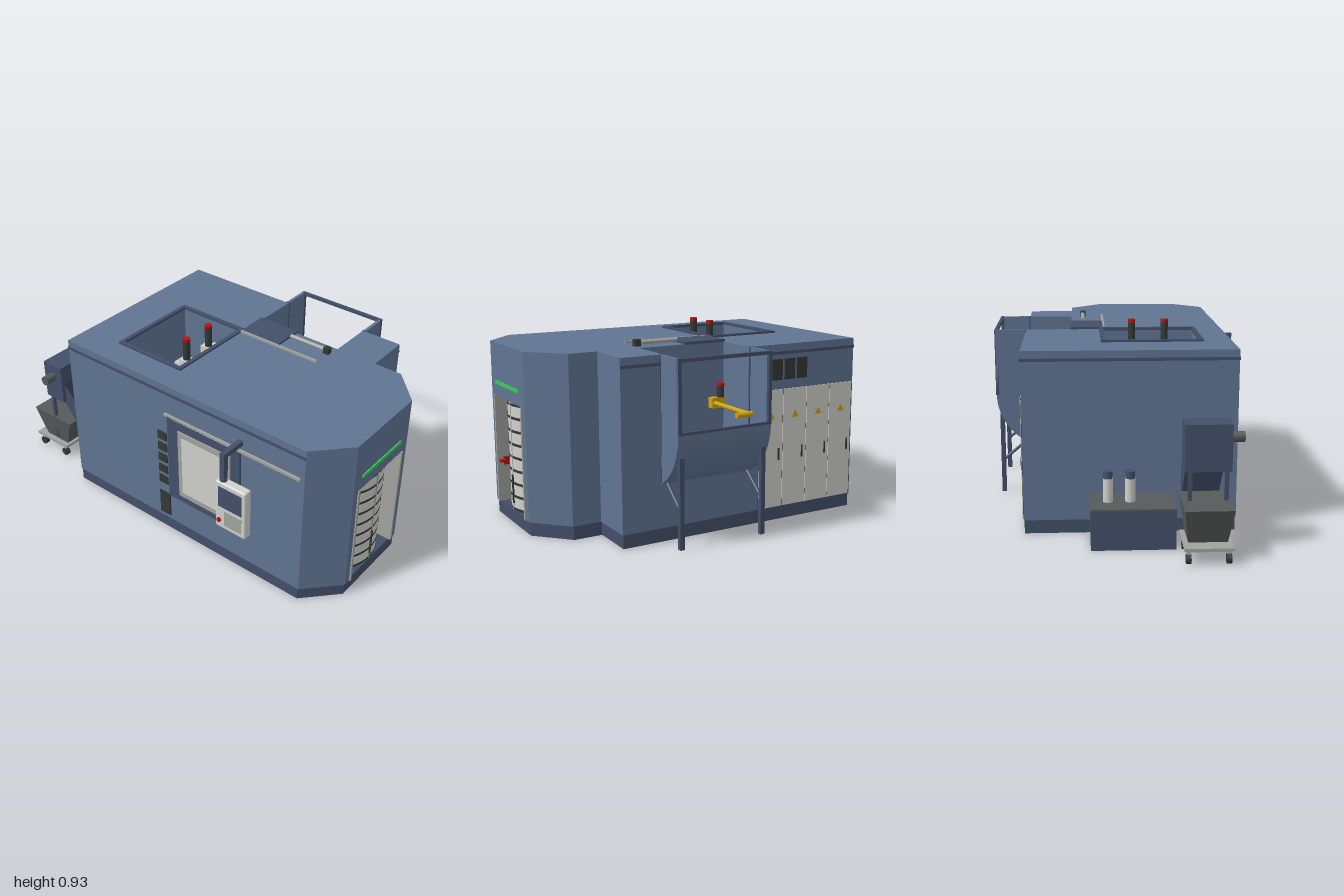
import * as THREE from 'three';
import { RoundedBoxGeometry } from 'three/addons/geometries/RoundedBoxGeometry.js';

export function createModel() {
  const root = new THREE.Group();
  const mat = (name, color) => {
    const m = new THREE.MeshStandardMaterial({ color, side: THREE.DoubleSide });
    m.name = name;
    return m;
  };
  const blue = mat('steel blue', 0x607492), navy = mat('navy', 0x434f69), dark = mat('dark navy', 0x2a3245);
  const white = mat('off white', 0xd0d0cc), grey = mat('mid grey', 0xa2a29e), iron = mat('iron grey', 0x565a5a);
  const black = mat('black', 0x333836), yellow = mat('yellow', 0xcda40e), red = mat('red', 0xb31212), green = mat('green', 0x36cc58);

  const add = (name, geo, m) => {
    const mesh = new THREE.Mesh(geo, m);
    mesh.name = name;
    root.add(mesh);
    return mesh;
  };
  // box given by its limits on each axis
  const box = (name, m, x0, x1, y0, y1, z0, z1) =>
    add(name, new THREE.BoxGeometry(x1 - x0, y1 - y0, z1 - z0).translate((x0 + x1) / 2, (y0 + y1) / 2, (z0 + z1) / 2), m);
  // cylinder between two points
  const rod = (name, m, r, a, b, seg = 20) => {
    const A = new THREE.Vector3(...a), B = new THREE.Vector3(...b), d = B.clone().sub(A);
    const mesh = add(name, new THREE.CylinderGeometry(r, r, d.length(), seg), m);
    mesh.position.copy(A).add(B).multiplyScalar(0.5);
    mesh.quaternion.setFromUnitVectors(new THREE.Vector3(0, 1, 0), d.normalize());
    return mesh;
  };
  const rectPath = (x0, x1, z0, z1) =>
    new THREE.Path([[x0, -z0], [x0, -z1], [x1, -z1], [x1, -z0]].map(p => new THREE.Vector2(...p)));

  // housing, stacked in layers of the floor plan
  const layer = (name, m, y0, y1, { notch, recess, pit }, k = 1) => {
    const pts = [[-0.5, -0.58], [0.487, -0.58],
      ...(notch ? [[0.487, 0.03], [0.26, 0.03], [0.26, 0.49], [0.487, 0.49]] : []),
      [0.487, 0.7], [0.26, 0.7], [0.26, 0.84], [0.1, 0.99],
      ...(recess ? [[0.065, 0.99], [0.065, 0.72], [-0.305, 0.72], [-0.305, 0.99]] : []),
      [-0.34, 0.99], [-0.5, 0.84]];
    const s = new THREE.Shape(pts.map(([x, z]) => new THREE.Vector2(x * k, -z * k)));
    if (pit) s.holes.push(rectPath(-0.35, 0.105, -0.35, 0.015));
    add(name, new THREE.ExtrudeGeometry(s, { depth: y1 - y0, bevelEnabled: false }).rotateX(-Math.PI / 2).translate(0, y0, 0), m);
  };
  layer('plinth', navy, 0, 0.065, {}, 0.993);
  layer('lowerHousing', blue, 0.065, 0.24, { recess: true });
  layer('middleHousing', blue, 0.24, 0.6, { recess: true, notch: true, pit: true });
  layer('upperHousing', blue, 0.6, 0.86, { notch: true, pit: true });

  // shadow groove strips below the roof
  box('roofGroove', navy, 0.486, 0.491, 0.812, 0.826, -0.58, 0.02);
  box('roofGroove', navy, 0.486, 0.491, 0.812, 0.826, 0.505, 0.7);
  box('roofGroove', navy, -0.504, -0.499, 0.812, 0.826, -0.58, 0.84);
  box('roofGroove', navy, -0.5, 0.487, 0.812, 0.826, -0.584, -0.579);

  // roof opening rim
  const rim = new THREE.Shape(rectPath(-0.365, 0.12, -0.365, 0.03).getPoints());
  rim.holes.push(rectPath(-0.345, 0.1, -0.345, 0.01));
  add('roofOpeningRim', new THREE.ExtrudeGeometry(rim, { depth: 0.014, bevelEnabled: false }).rotateX(-Math.PI / 2).translate(0, 0.856, 0), navy);

  // machine inside the roof opening
  for (const x of [-0.285, 0.012]) {
    box('innerColumn', white, x, x + 0.03, 0.24, 0.58, -0.35, -0.05);
    box('innerUpright', white, x, x + 0.03, 0.5, 0.78, -0.1, -0.045);
  }
  box('innerBeam', white, -0.255, 0.012, 0.5, 0.56, -0.325, -0.265);
  box('innerBeam', white, -0.255, 0.012, 0.48, 0.56, -0.24, -0.17);
  box('innerBridge', white, -0.255, 0.012, 0.66, 0.77, -0.085, -0.05);
  for (const z of [-0.29, -0.17, -0.11]) {
    rod('innerRail', grey, 0.005, [-0.345, 0.55, z], [-0.28, 0.55, z], 10);
    rod('innerRail', grey, 0.005, [0.04, 0.55, z], [0.1, 0.55, z], 10);
  }
  box('innerSwitch', red, -0.35, -0.335, 0.56, 0.6, -0.195, -0.15);

  // signal lamps
  const lamp = (x, z, y0, y1) => {
    rod('lampBody', black, 0.018, [x, y0, z], [x, y1 - 0.016, z]);
    rod('lampCap', red, 0.0185, [x, y1 - 0.016, z], [x, y1, z]);
  };
  for (const x of [-0.203, -0.04]) {
    box('lampBracket', white, x - 0.025, x + 0.025, 0.76, 0.81, -0.1, -0.045);
    lamp(x, -0.07, 0.81, 0.925);
  }

  // curved front doors with slots
  const cx = -0.12, cz = 0.76;
  const arc = (name, m, r, y0, y1, t0, t1) =>
    add(name, new THREE.CylinderGeometry(r, r, y1 - y0, 16, 1, true, t0, t1 - t0).translate(cx, (y0 + y1) / 2, cz), m);
  arc('doorBacking', grey, 0.215, 0.066, 0.6, -0.88, 0.88);
  for (const [t0, t1] of [[-0.883, -0.03], [0.03, 0.883]]) {
    arc('frontDoor', white, 0.22, 0.068, 0.598, t0, t1);
    for (let i = 0; i < 9; i++) {
      const y = 0.068 + i * 0.0638;
      arc('doorSlot', black, 0.222, y, y + 0.013, t0, t1);
    }
  }
  box('doorHandle', black, -0.124, -0.117, 0.1, 0.24, 0.976, 0.986);
  box('doorPost', grey, -0.306, -0.293, 0.065, 0.6, 0.9, 0.996);
  box('doorPost', grey, 0.053, 0.066, 0.065, 0.6, 0.9, 0.996);
  box('doorStop', red, -0.294, -0.28, 0.25, 0.29, 0.94, 0.965);
  rod('doorStopKnob', red, 0.009, [-0.285, 0.27, 0.955], [-0.285, 0.27, 0.985], 12);
  box('statusLight', green, -0.28, 0.037, 0.66, 0.677, 0.989, 0.996);

  // electrical cabinets and vents on the left side
  const pitch = 0.1385;
  box('cabinetBacking', black, 0.486, 0.489, 0.068, 0.645, -0.575, -0.02);
  for (let i = 0; i < 4; i++) {
    const z = -0.02 - i * pitch, v = -0.02 - i * 0.072;
    box('cabinetDoor', white, 0.487, 0.492, 0.068, 0.645, z - pitch + 0.003, z);
    box('cabinetHandle', black, 0.491, 0.496, 0.3, 0.36, z - 0.117, z - 0.109);
    add('warningSign', new THREE.CircleGeometry(0.023, 3).rotateZ(Math.PI / 2).rotateY(Math.PI / 2).translate(0.494, 0.515, z - pitch / 2), yellow);
    box('sideVent', black, 0.486, 0.491, 0.69, 0.79, v - 0.06, v);
  }

  // loading hopper: side plates, curved floor, open window frame
  const hx = 0.357, hy = 0.53, hr = 0.288, a1 = -1.91;
  const plate = new THREE.Shape();
  plate.moveTo(0.262, 0.86).lineTo(0.645, 0.86).lineTo(0.645, hy);
  plate.absarc(hx, hy, hr, 0, a1, true);
  for (const z of [0.02, 0.49])
    add('hopperSide', new THREE.ExtrudeGeometry(plate, { depth: 0.015, bevelEnabled: false, curveSegments: 24 }).translate(0, 0, z), blue);
  const floor = new THREE.Shape();
  floor.absarc(hx, hy, hr, 0, a1, true);
  floor.absarc(hx, hy, hr - 0.008, a1, 0, false);
  add('hopperFloor', new THREE.ExtrudeGeometry(floor, { depth: 0.456, bevelEnabled: false, curveSegments: 24 }).translate(0, 0, 0.0345), blue);
  box('hopperSill', blue, 0.47, 0.487, 0.24, 0.275, 0.03, 0.49);
  box('hopperTopBar', navy, 0.632, 0.648, 0.845, 0.861, 0.02, 0.505);
  box('hopperLowerBar', navy, 0.637, 0.648, 0.525, 0.537, 0.02, 0.505);
  for (const z of [0.02, 0.488]) {
    box('hopperPost', navy, 0.632, 0.648, 0.53, 0.86, z, z + 0.017);
    box('hopperSeam', navy, 0.487, 0.494, 0.28, 0.861, z - 0.002, z + 0.019);
  }
  for (const z of [0.05, 0.478]) {
    box('hopperLeg', navy, 0.61, 0.632, 0, 0.42, z - 0.011, z + 0.011);
    rod('hopperBrace', navy, 0.008, [0.487, 0.285, z], [0.618, 0.175, z], 8);
  }
  // yellow arm and lamp in the hopper
  rod('feedArm', yellow, 0.011, [0.262, 0.57, 0.105], [0.6, 0.57, 0.105]);
  rod('feedNozzle', yellow, 0.013, [0.59, 0.57, 0.09], [0.59, 0.57, 0.172]);
  box('feedArmMount', yellow, 0.262, 0.3, 0.545, 0.595, 0.05, 0.12);
  lamp(0.29, 0.07, 0.595, 0.665);

  // sliding roof cover with its actuator
  box('slidingCover', navy, 0.1, 0.264, 0.858, 0.871, 0.03, 0.25);
  box('coverRail', grey, 0.09, 0.1, 0.858, 0.872, 0.03, 0.48);
  rod('actuator', grey, 0.01, [0.198, 0.877, 0.26], [0.198, 0.877, 0.465]);
  box('actuatorBlock', black, 0.184, 0.212, 0.86, 0.892, 0.455, 0.485);

  // service door, rail and vents on the right side
  box('serviceDoor', navy, -0.512, -0.499, 0.23, 0.7, 0.07, 0.5);
  box('serviceWindowFrame', grey, -0.519, -0.505, 0.27, 0.65, 0.14, 0.45);
  box('serviceWindow', white, -0.522, -0.51, 0.3, 0.62, 0.165, 0.425);
  box('serviceRail', grey, -0.512, -0.499, 0.695, 0.708, 0.05, 0.82);
  for (let i = 0; i < 5; i++) box('smallVent', black, -0.506, -0.499, 0.28 + i * 0.066, 0.325 + i * 0.066, 0, 0.055);
  box('lowerVent', black, -0.506, -0.499, 0.09, 0.225, 0, 0.065);

  // control panel on a swing arm
  box('panelArm', navy, -0.632, -0.5, 0.734, 0.759, 0.485, 0.51);
  box('panelArmDrop', navy, -0.632, -0.607, 0.61, 0.759, 0.485, 0.51);
  rod('panelJoint', navy, 0.017, [-0.62, 0.605, 0.498], [-0.62, 0.625, 0.498]);
  add('controlPanel', new RoundedBoxGeometry(0.046, 0.262, 0.168, 3, 0.01).translate(-0.619, 0.479, 0.55), white);
  box('panelScreen', navy, -0.645, -0.64, 0.475, 0.585, 0.485, 0.615);
  box('panelKeys', grey, -0.644, -0.64, 0.375, 0.455, 0.52, 0.615);
  rod('panelStop', red, 0.011, [-0.64, 0.395, 0.49], [-0.65, 0.395, 0.49]);

  // coolant tank with pumps
  box('coolantTank', navy, -0.2, 0.18, 0, 0.185, -0.805, -0.58);
  box('tankLid', iron, -0.203, 0.183, 0.184, 0.192, -0.808, -0.58);
  for (const x of [0, 0.1]) {
    rod('pumpBody', white, 0.023, [x, 0.19, -0.692], [x, 0.3, -0.692]);
    rod('pumpCap', navy, 0.021, [x, 0.3, -0.692], [x, 0.335, -0.692]);
  }

  // chip conveyor
  const ramp = new THREE.Shape([[0.57, 0.2], [0.57, 0.3], [0.76, 0.49], [0.79, 0.39], [0.74, 0.34], [0.63, 0.2]].map(p => new THREE.Vector2(...p)));
  add('conveyorRamp', new THREE.ExtrudeGeometry(ramp, { depth: 0.17, bevelEnabled: false }).rotateY(Math.PI / 2).translate(-0.41, 0, 0), navy);
  const belt = box('conveyorBelt', dark, -0.41, -0.24, -0.003, 0.003, -0.132, 0.132);
  belt.position.set(0, 0.397, -0.666);
  belt.rotation.x = Math.PI / 4;
  box('conveyorHead', navy, -0.43, -0.225, 0.38, 0.59, -0.875, -0.75);
  for (const x of [-0.41, -0.25]) box('conveyorLeg', navy, x - 0.009, x + 0.009, 0.1, 0.38, -0.861, -0.845);
  rod('conveyorMotor', iron, 0.024, [-0.43, 0.52, -0.812], [-0.49, 0.52, -0.812]);

  // chip cart: open tapered tub on a wheeled plate
  const tub = new THREE.BoxGeometry(0.215, 0.16, 0.27);
  const p = tub.attributes.position;
  for (let i = 0; i < p.count; i++) if (p.getY(i) < 0) p.setXYZ(i, p.getX(i) * 0.8, p.getY(i), p.getZ(i) * 0.58);
  tub.computeVertexNormals();
  add('chipTub', tub.translate(-0.322, 0.165, -0.86), iron);
  box('cartPlate', grey, -0.43, -0.215, 0.065, 0.08, -1, -0.77);
  for (const x of [-0.41, -0.235]) for (const z of [-0.97, -0.8]) {
    box('casterFork', grey, x - 0.009, x + 0.009, 0.025, 0.066, z - 0.006, z + 0.006);
    rod('casterWheel', black, 0.022, [x - 0.011, 0.023, z], [x + 0.011, 0.023, z]);
  }
  return root;
}
